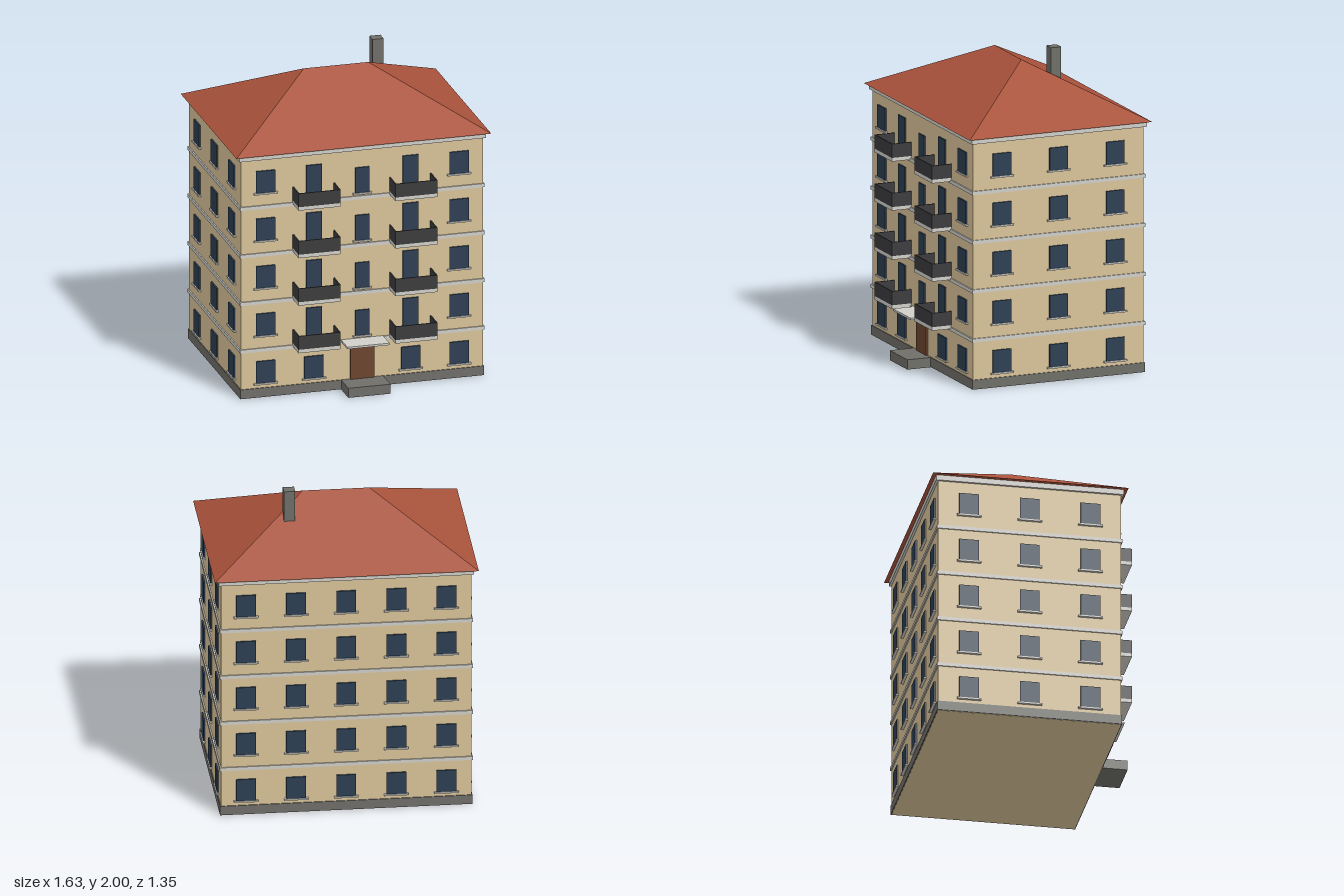
import * as THREE from 'three';

const mat = (color) => new THREE.MeshStandardMaterial({ color, flatShading: true });
const wall = mat(0xd9c399), stone = mat(0x6f6e69), trim = mat(0xcfcec8), roofRed = mat(0xa8523b);
const glass = mat(0x2c3e52), railing = mat(0x3b3b3d), wood = mat(0x6b452d);

const W = 0.775, D = 0.572;   // half width and half depth of the walls
const ZC = -0.062;            // centre of the block in z
const STOREY = 0.311, FLOORS = 5;

// Box given by its centre x, z, its bottom y and its size
function box(parent, name, material, w, h, d, x, y, z) {
  const mesh = new THREE.Mesh(new THREE.BoxGeometry(w, h, d), material);
  mesh.name = name;
  mesh.position.set(x, y + h / 2, z);
  parent.add(mesh);
  return mesh;
}

// Pane with a sill, on a wall whose surface is the local plane z = 0
function addWindow(parent, x, y, w = 0.122, h = 0.143) {
  const win = new THREE.Group();
  win.name = 'window';
  win.position.set(x, y, 0);
  box(win, 'pane', glass, w, h, 0.02, 0, 0, 0);
  box(win, 'sill', trim, w + 0.03, 0.01, 0.034, 0, -0.01, 0);
  parent.add(win);
}

// Balcony with its door; y is the underside of the slab
function addBalcony(parent, x, y) {
  const b = new THREE.Group();
  b.name = 'balcony';
  b.position.set(x, y, 0);
  const w = 0.27, d = 0.131, t = 0.008, h = 0.088;
  box(b, 'balconyDoor', glass, 0.1, 0.222, 0.02, 0, 0.022, 0);
  box(b, 'balconySlab', trim, w, 0.023, d, 0, 0, d / 2);
  box(b, 'frontRailing', railing, w, h, t, 0, 0.023, d - t / 2);
  for (const s of [-1, 1])
    box(b, 'sideRailing', railing, t, h, d - t, s * (w - t) / 2, 0.023, (d - t) / 2);
  parent.add(b);
}

// Wall group turned to face outwards, its surface at local z = 0
function addFacade(building, name, angle, distance) {
  const f = new THREE.Group();
  f.name = name;
  f.rotation.y = angle;
  f.position.set(Math.sin(angle) * distance, 0, Math.cos(angle) * distance);
  building.add(f);
  return f;
}

// Hipped roof: a gable prism whose ridge ends are pulled inwards
function hipRoof(halfW, halfD, height, halfRidge) {
  const gable = new THREE.Shape([
    new THREE.Vector2(-halfD, 0), new THREE.Vector2(halfD, 0), new THREE.Vector2(0, height),
  ]);
  const geo = new THREE.ExtrudeGeometry(gable, { depth: 2 * halfW, bevelEnabled: false });
  geo.translate(0, 0, -halfW).rotateY(Math.PI / 2);
  const p = geo.attributes.position;
  for (let i = 0; i < p.count; i++)
    if (p.getY(i) > height / 2) p.setX(i, Math.sign(p.getX(i)) * halfRidge);
  geo.computeVertexNormals();
  return geo;
}

export function createModel() {
  const model = new THREE.Group();
  model.name = 'apartmentBuilding';
  const building = new THREE.Group();
  building.name = 'block';
  building.position.z = ZC;
  model.add(building);

  // Walls, plinth, storey bands and cornice
  box(building, 'walls', wall, 2 * W, 1.56, 2 * D, 0, 0, 0);
  box(building, 'plinth', stone, 2 * W + 0.012, 0.06, 2 * D + 0.012, 0, 0.002, 0);
  for (let k = 1; k < FLOORS; k++)
    box(building, 'storeyBand', trim, 2 * W + 0.016, 0.023, 2 * D + 0.016, 0, k * STOREY - 0.011, 0);
  box(building, 'cornice', trim, 2 * W + 0.03, 0.034, 2 * D + 0.03, 0, 1.556, 0);

  // Roof and chimney
  const roof = new THREE.Mesh(hipRoof(0.817, 0.612, 0.318, 0.206), roofRed);
  roof.name = 'roof';
  roof.position.y = 1.59;
  building.add(roof);
  box(building, 'chimney', stone, 0.07, 0.32, 0.07, 0.31, 1.68, -0.172);

  // Facades
  const front = addFacade(building, 'frontFacade', 0, D);
  const back = addFacade(building, 'backFacade', Math.PI, D);
  const left = addFacade(building, 'leftFacade', Math.PI / 2, W);
  const right = addFacade(building, 'rightFacade', -Math.PI / 2, W);
  for (let k = 0; k < FLOORS; k++) {
    const base = k * STOREY, y = base + 0.095;
    for (const x of [-0.62, -0.31, 0, 0.31, 0.62]) addWindow(back, x, y);
    for (const side of [left, right])
      for (const x of [-0.38, 0, 0.38]) addWindow(side, x, y);
    for (const s of [-1, 1]) {
      addWindow(front, s * 0.62, y);
      if (k === 0) addWindow(front, s * 0.31, y);
      else addBalcony(front, s * 0.31, base + 0.001);
    }
    // Narrow stairwell window above the entrance
    if (k > 0) addWindow(front, 0, base + 0.033, 0.09, 0.165);
  }

  // Entrance
  box(front, 'entranceDoor', wood, 0.154, 0.24, 0.024, 0, 0.062, 0);
  box(front, 'entranceCanopy', trim, 0.27, 0.013, 0.142, 0, 0.311, 0.071);
  box(front, 'entranceStep', stone, 0.27, 0.062, 0.162, 0, 0, 0.081);

  return model;
}
